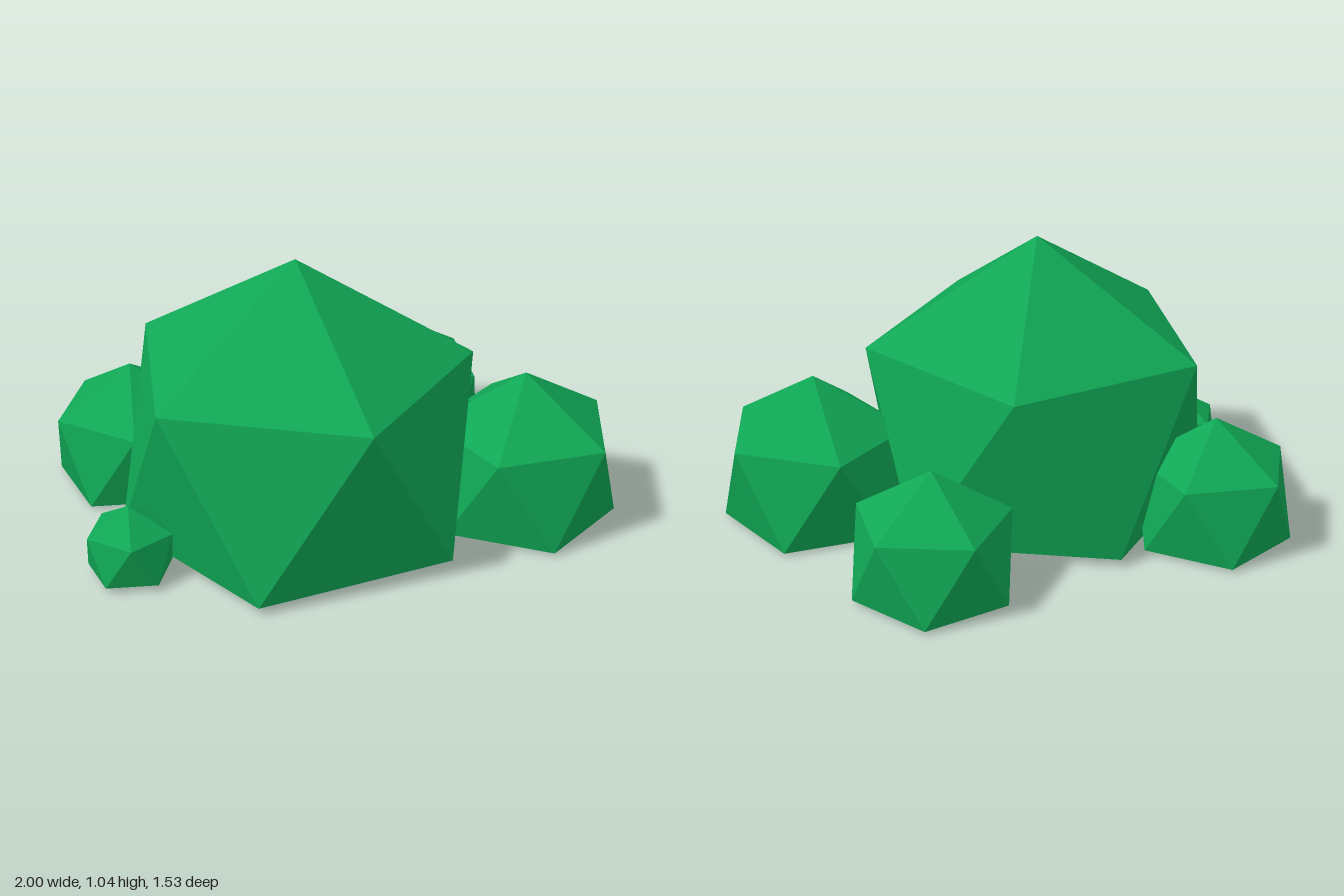
import * as THREE from 'three';

// Vertex-up icosahedron whose bottom point is flattened onto the ground
function bushGeometry(r, centreY, turnDeg) {
  const ringY = r / Math.sqrt(5);
  const ringR = 2 * ringY;
  const ring = (y, offset) => Array.from({ length: 5 }, (_, k) => {
    const a = THREE.MathUtils.degToRad(turnDeg + offset + 72 * k);
    return [ringR * Math.cos(a), y, ringR * Math.sin(a)];
  });
  const top = [0, centreY + r, 0];
  const bottom = [0, Math.max(0, centreY - r), 0];
  const upper = ring(centreY + ringY, 0);
  const lower = ring(centreY - ringY, 36);

  const points = [];
  for (let k = 0; k < 5; k++) {
    const n = (k + 1) % 5;
    points.push(
      top, upper[n], upper[k],
      upper[k], upper[n], lower[k],
      lower[k], upper[n], lower[n],
      bottom, lower[k], lower[n],
    );
  }
  const geometry = new THREE.BufferGeometry();
  geometry.setAttribute('position', new THREE.Float32BufferAttribute(points.flat(), 3));
  geometry.computeVertexNormals();
  return geometry;
}

export function createModel() {
  const group = new THREE.Group();
  group.name = 'bushCluster';
  const leafGreen = new THREE.MeshStandardMaterial({ color: 0x10a755, flatShading: true });
  leafGreen.name = 'leaf green';

  // name, x, z, radius, centre height, turn in degrees
  const bushes = [
    ['mainBush', -0.16, 0.17, 0.7, 0.342, 0],
    ['leftBush', 0.66, 0.17, 0.38, 0.18, 44.5],
    ['backLeftBush', 0.33, -0.49, 0.318, 0.153, 32],
    ['backRightBush', -0.73, -0.25, 0.318, 0.153, 90],
    ['smallFrontBush', -0.77, 0.44, 0.172, 0.098, 90],
  ];
  for (const [name, x, z, r, y, turn] of bushes) {
    const mesh = new THREE.Mesh(bushGeometry(r, y, turn), leafGreen);
    mesh.name = name;
    mesh.position.set(x, 0, z);
    group.add(mesh);
  }
  return group;
}
